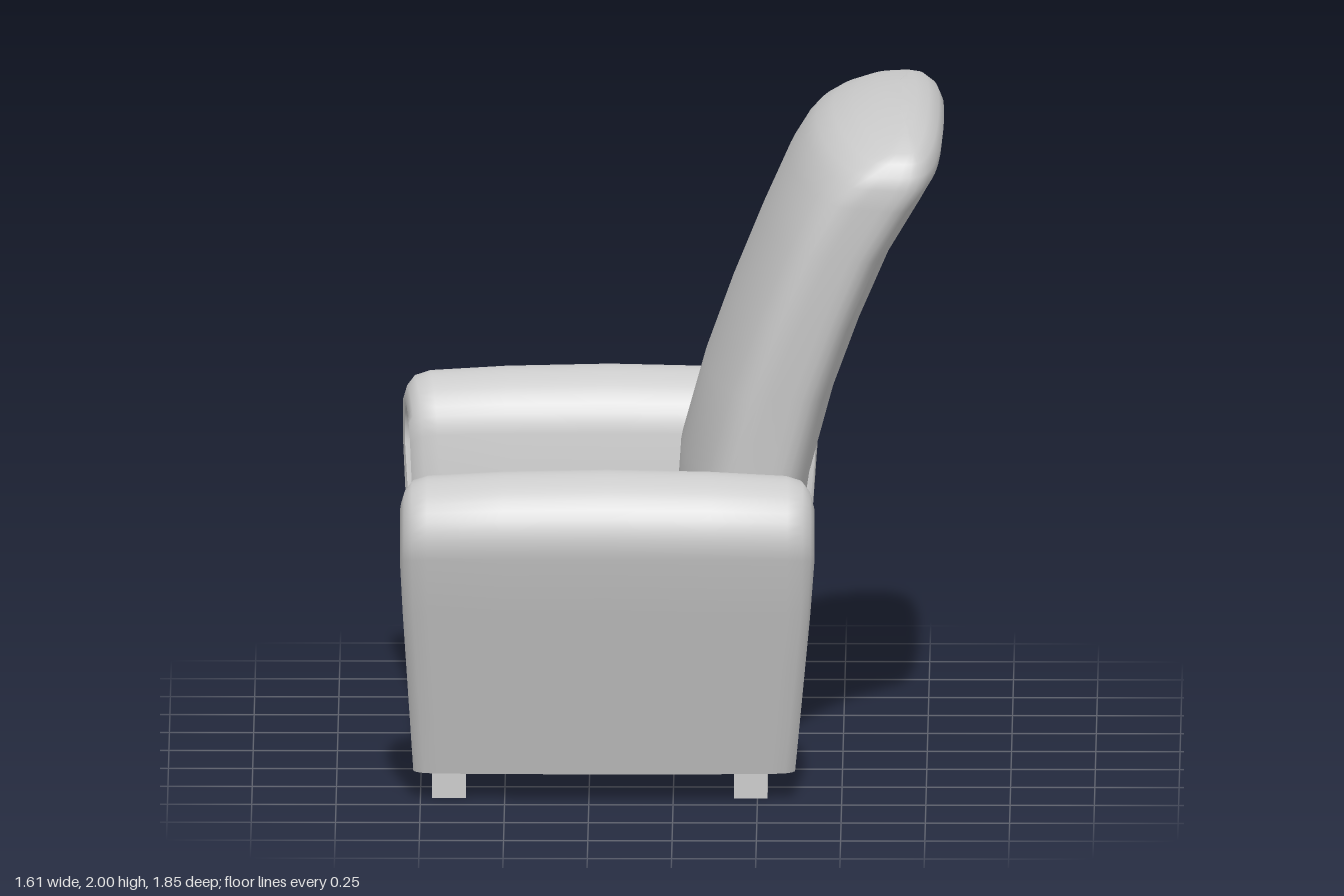
import * as THREE from 'three';
import { toCreasedNormals } from 'three/addons/utils/BufferGeometryUtils.js';
import { RoundedBoxGeometry } from 'three/addons/geometries/RoundedBoxGeometry.js';

const material = new THREE.MeshStandardMaterial({ color: 0xcccccc });
const clamp = THREE.MathUtils.clamp;
const V = (x, y, z) => new THREE.Vector3(x, y, z);

// Skin closed rings into a capped solid, turned so that faces point outward
function loft(rings, crease) {
  const n = rings[0].length, pts = rings.flat(), idx = [];
  for (let i = 0; i < rings.length - 1; i++)
    for (let j = 0; j < n; j++) {
      const a = i * n + j, b = i * n + (j + 1) % n;
      idx.push(a, b, a + n, b, b + n, a + n);
    }
  const cap = (start, flip) => {
    const c = V(0, 0, 0);
    for (let j = 0; j < n; j++) c.addScaledVector(pts[start + j], 1 / n);
    const k = pts.push(c) - 1;
    for (let j = 0; j < n; j++) {
      const a = start + j, b = start + (j + 1) % n;
      idx.push(k, flip ? b : a, flip ? a : b);
    }
  };
  cap(0, true);
  cap((rings.length - 1) * n, false);
  let volume = 0;
  for (let i = 0; i < idx.length; i += 3)
    volume += pts[idx[i]].dot(V(0, 0, 0).crossVectors(pts[idx[i + 1]], pts[idx[i + 2]]));
  if (volume < 0) idx.reverse();
  const g = new THREE.BufferGeometry().setFromPoints(pts);
  g.setIndex(idx);
  g.computeVertexNormals();
  return crease ? toCreasedNormals(g, crease) : g;
}

// Rounded square in -1..1, with points gathered at the corners
function roundedSquare(power, perSide = 14) {
  const out = [];
  for (let s = 0; s < 4; s++)
    for (let i = 0; i < perSide; i++) {
      const t = Math.sin((i / perSide - 0.5) * Math.PI);
      const [a, b] = [[1, t], [-t, 1], [-1, -t], [t, -1]][s];
      const k = Math.pow(Math.abs(a) ** power + Math.abs(b) ** power, -1 / power);
      out.push([a * k, b * k]);
    }
  return out;
}

// Arched arm section as [z, y], drawn in by d
function armSection(d) {
  const r = 0.177 - d, cz = 0.735 - 0.375 * d, cy = 0.82 - 0.6 * d, arc = [];
  for (let i = 0; i <= 20; i++) {
    const a = THREE.MathUtils.lerp(Math.PI - 0.1, -0.25, i / 20);
    arc.push([cz + r * Math.cos(a), cy + r * Math.sin(a)]);
  }
  const leg = (foot, tip) => [0, 0.25, 0.5, 0.75].map(t =>
    [foot[0] + (tip[0] - foot[0]) * t, foot[1] + (tip[1] - foot[1]) * t]);
  const inner = leg([0.5 + 0.8 * d, 0.085], arc[0]);
  const outer = leg([0.71 - 0.8 * d, 0.085], arc[20]).reverse();
  return [...inner, ...arc, ...outer];
}

// Arm with rolled ends, a groove and a sunken panel at each end
function armGeometry(side) {
  const end = [[0.025, 0.08], [0.035, 0.074], [0.006, 0.066], [0, 0.052],
    [0.012, 0.03], [0.035, 0.012], [0.08, 0.003]];
  const stations = [
    ...end.map(([o, d]) => [0, o, d]),
    [0.25, 0, -0.005], [0.5, 0, -0.009], [0.75, 0, -0.005],
    ...end.map(([o, d]) => [1, -o, d]).reverse()];
  const rings = stations.map(([f, o, d]) => armSection(d).map(([z, y]) => {
    const flare = clamp(0.5 * (z - 0.56) / 0.24 + 0.5 * (y - 0.09) / 0.72, 0, 1);
    const front = -0.76 - 0.05 * flare, back = 0.345 + 0.075 * flare;
    return V(THREE.MathUtils.lerp(front, back, f) + o, y, z * side);
  }));
  return loft(rings, 0.8);
}

// Leaning backrest: front x, front y, back x, back y, half width per level
function backrestGeometry() {
  const levels = [
    [0.02, 0.09, 0.345, 0.09, 0.5], [0.0, 0.35, 0.345, 0.33, 0.515],
    [0.0, 0.65, 0.36, 0.6, 0.535], [0.02, 0.95, 0.405, 0.9, 0.555],
    [0.09, 1.2, 0.48, 1.18, 0.58], [0.17, 1.42, 0.56, 1.4, 0.605],
    [0.26, 1.64, 0.65, 1.61, 0.622], [0.34, 1.82, 0.75, 1.79, 0.635],
    [0.385, 1.895, 0.795, 1.88, 0.638], [0.42, 1.935, 0.8, 1.925, 0.63],
    [0.47, 1.965, 0.785, 1.96, 0.61], [0.53, 1.985, 0.755, 1.983, 0.58],
    [0.58, 1.995, 0.72, 1.995, 0.45], [0.62, 2.0, 0.68, 2.0, 0.2]];
  const plan = roundedSquare(5);
  return loft(levels.map(([fx, fy, bx, by, w]) => plan.map(([a, b]) => {
    const u = (a + 1) / 2, z = b * w;
    const bow = 0.09 * b * b * (1 - u) - 0.02 * b * b * u;
    const sag = 0.05 * Math.abs(z / 0.62) ** 2.5 * THREE.MathUtils.smoothstep(fy, 1.7, 1.95);
    return V(fx + (bx - fx) * u + bow, fy + (by - fy) * u - sag, z);
  })), 1.0);
}

// Plump seat cushion: inset and height per level
function cushionGeometry() {
  const levels = [[0.06, 0.43], [0.015, 0.45], [0, 0.5], [0, 0.6], [0.01, 0.645],
    [0.035, 0.675], [0.075, 0.692], [0.16, 0.703], [0.28, 0.712], [0.4, 0.716]];
  const plan = roundedSquare(9);
  return loft(levels.map(([d, y]) => plan.map(([a, b]) =>
    V(-0.26 + a * (0.475 - d) - 0.012 * (1 - b * b) * (a < 0 ? -a : 0), y, b * (0.535 - d)))));
}

export function createModel() {
  const model = new THREE.Group();
  model.name = 'armchair';
  const add = (name, geometry, x = 0, y = 0, z = 0) => {
    const mesh = new THREE.Mesh(geometry, material);
    mesh.name = name;
    mesh.position.set(x, y, z);
    model.add(mesh);
  };

  add('backrest', backrestGeometry());
  add('seatCushion', cushionGeometry());

  // Base below the cushion
  add('lowerRail', new RoundedBoxGeometry(1.08, 0.18, 1.06, 4, 0.015), -0.225, 0.18, 0);
  add('upperRail', new RoundedBoxGeometry(1.0, 0.17, 1.08, 4, 0.02), -0.255, 0.35, 0);

  // Arms and feet
  for (const side of [1, -1]) {
    add(side > 0 ? 'leftArm' : 'rightArm', armGeometry(side));
    for (const x of [-0.665, 0.23])
      add('foot', new THREE.BoxGeometry(0.1, 0.1, 0.1), x, 0.05, 0.61 * side);
  }
  return model;
}
